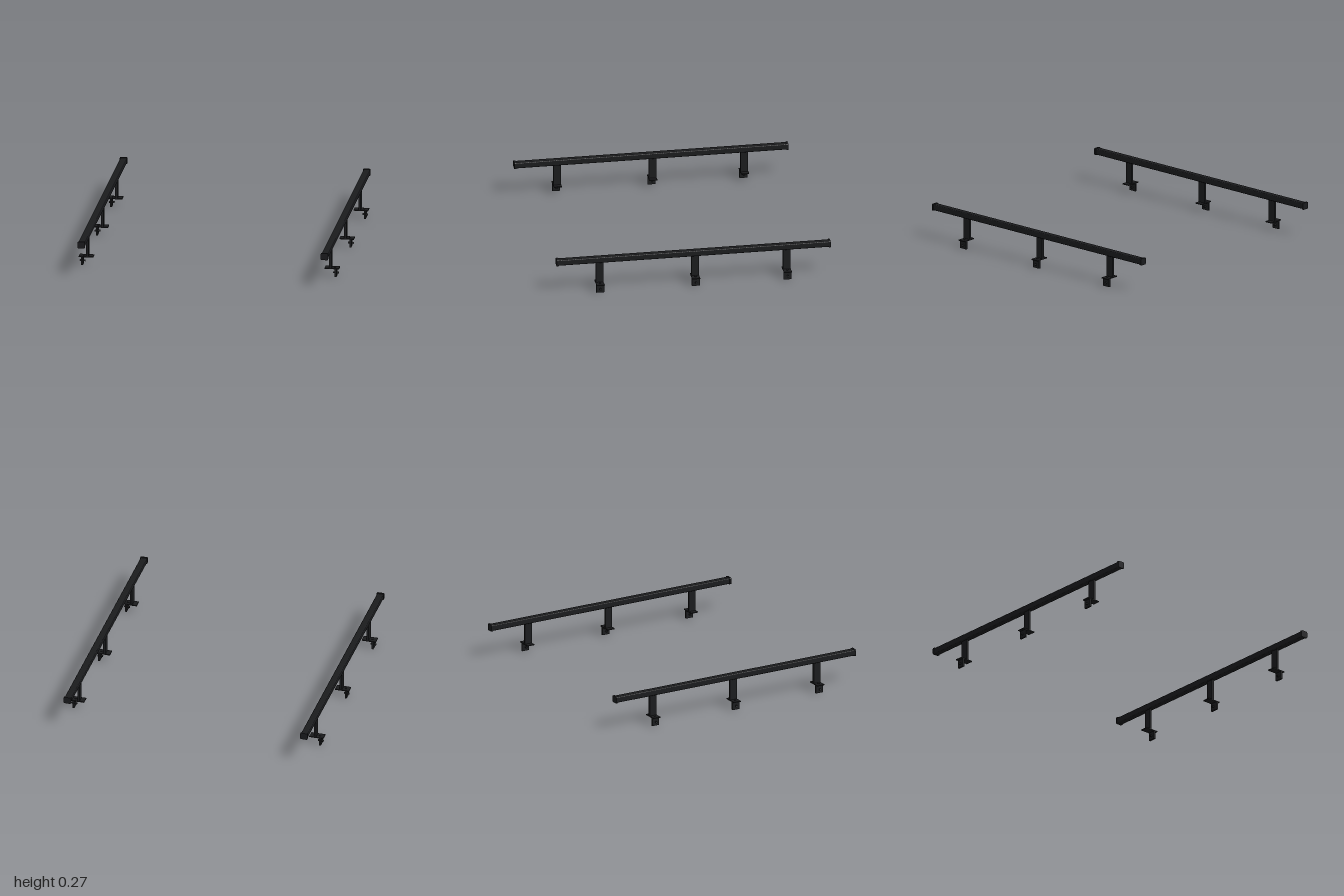
import * as THREE from 'three';

const black = new THREE.MeshStandardMaterial({ color: 0x1a1b1d });
const steel = new THREE.MeshStandardMaterial({ color: 0x55575a });

function add(parent, name, geometry, x, y, z, material = black) {
  const mesh = new THREE.Mesh(geometry, material);
  mesh.name = name;
  mesh.position.set(x, y, z);
  parent.add(mesh);
  return mesh;
}

// Rounded rectangle in x/y, extruded along z and centred
function roundedBar(w, h, r, length) {
  const s = new THREE.Shape();
  const a = w / 2 - r, b = h / 2 - r;
  s.absarc(a, b, r, 0, Math.PI / 2);
  s.absarc(-a, b, r, Math.PI / 2, Math.PI);
  s.absarc(-a, -b, r, Math.PI, Math.PI * 1.5);
  s.absarc(a, -b, r, Math.PI * 1.5, Math.PI * 2);
  s.closePath();
  const g = new THREE.ExtrudeGeometry(s, { depth: length, bevelEnabled: false, curveSegments: 4 });
  return g.translate(0, 0, -length / 2);
}

// Upright with foot plate, hanging clamp plate and bolts; side is +1 or -1
function createStand(side) {
  const stand = new THREE.Group();
  stand.name = 'stand';
  add(stand, 'post', new THREE.BoxGeometry(0.017, 0.166, 0.055), 0, 0.145, 0);
  add(stand, 'footPlate', new THREE.BoxGeometry(0.105, 0.007, 0.058), side * 0.01, 0.0625, 0);
  add(stand, 'clampPlate', new THREE.BoxGeometry(0.013, 0.06, 0.058), side * 0.038, 0.03, 0);
  // Horizontal clamp bolt
  const bolt = add(stand, 'clampBolt', new THREE.CylinderGeometry(0.007, 0.007, 0.04, 12), side * 0.037, 0.027, 0);
  bolt.rotation.z = Math.PI / 2;
  const tip = add(stand, 'boltTip', new THREE.CylinderGeometry(0.004, 0.004, 0.002, 12), side * 0.0575, 0.027, 0, steel);
  tip.rotation.z = Math.PI / 2;
  // Vertical plate bolt
  add(stand, 'plateBolt', new THREE.CylinderGeometry(0.007, 0.007, 0.012, 6), side * 0.03, 0.065, 0);
  add(stand, 'plateBoltTip', new THREE.CylinderGeometry(0.004, 0.004, 0.002, 12), side * 0.03, 0.0715, 0, steel);
  return stand;
}

export function createModel() {
  const model = new THREE.Group();
  model.name = 'sideRails';
  for (const side of [-1, 1]) {
    const rail = new THREE.Group();
    rail.name = side > 0 ? 'leftRail' : 'rightRail';
    rail.position.x = side * 0.885;
    add(rail, 'railBar', roundedBar(0.046, 0.043, 0.006, 1.98), 0, 0.243, 0);
    // Slightly larger caps close both ends
    for (const end of [-1, 1]) {
      add(rail, 'endCap', roundedBar(0.055, 0.05, 0.008, 0.013), 0, 0.243, end * 0.9935);
    }
    for (const z of [0.685, -0.012, -0.682]) {
      const stand = createStand(side);
      stand.position.z = z;
      rail.add(stand);
    }
    model.add(rail);
  }
  return model;
}
